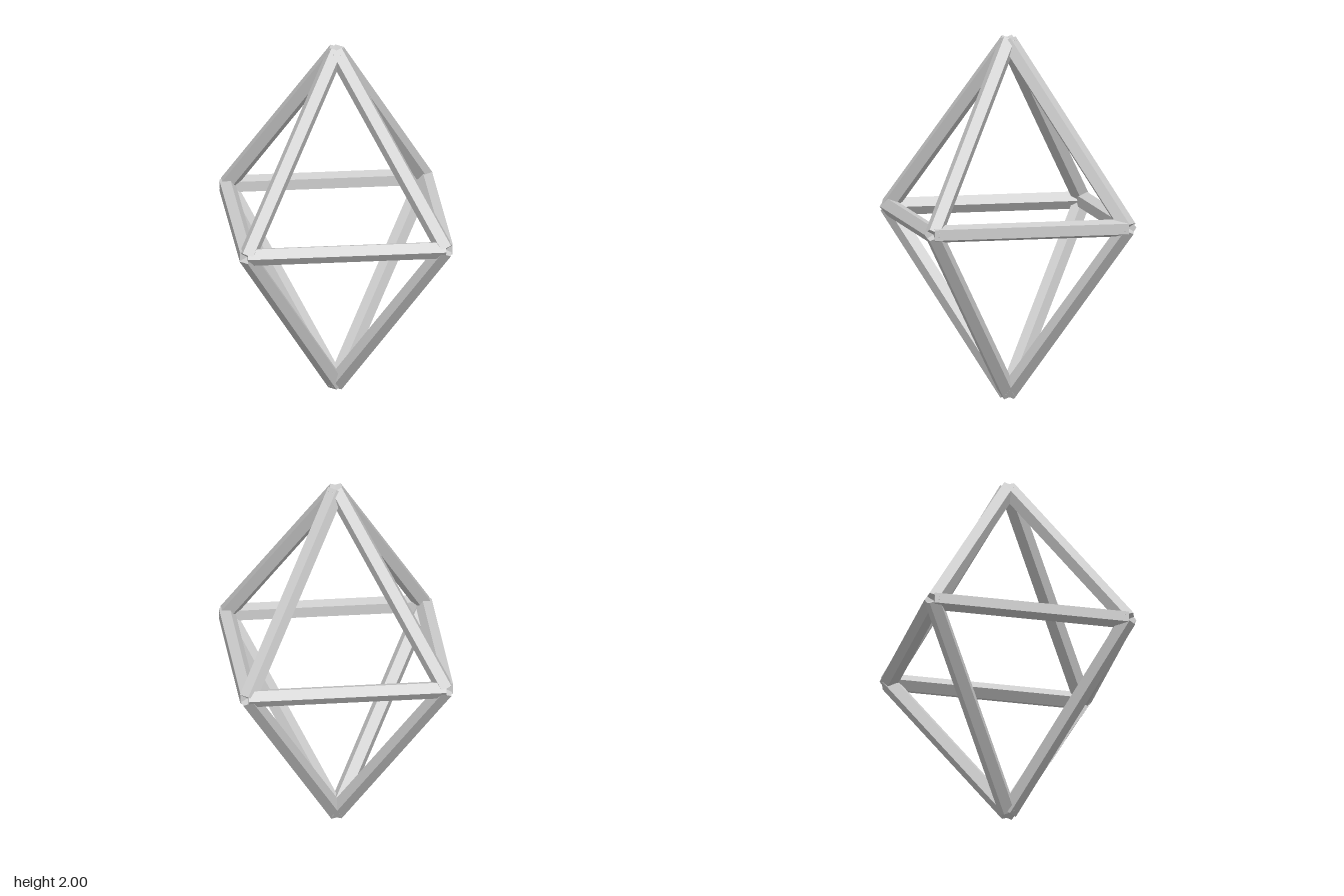
import * as THREE from 'three';

const HALF_WIDTH = 0.768;  // centre to side corners
const HALF_HEIGHT = 0.969; // centre to top and bottom corners
const RADIUS = 0.05;       // five-sided bar radius

export function createModel() {
  const model = new THREE.Group();
  model.name = 'octahedronFrame';
  const grey = new THREE.MeshStandardMaterial({ color: 0xcccccc });
  grey.name = 'light grey';

  // Corners of the stretched octahedron
  const corner = {
    right: new THREE.Vector3(-HALF_WIDTH, 0, 0),
    left: new THREE.Vector3(HALF_WIDTH, 0, 0),
    front: new THREE.Vector3(0, 0, HALF_WIDTH),
    back: new THREE.Vector3(0, 0, -HALF_WIDTH),
    top: new THREE.Vector3(0, HALF_HEIGHT, 0),
    bottom: new THREE.Vector3(0, -HALF_HEIGHT, 0),
  };

  // Bar between two corners; ridge 1 points an edge outward, -1 a flat face
  function addBar(from, to, ridge) {
    const a = corner[from], b = corner[to];
    const along = b.clone().sub(a);
    const length = along.length();
    along.normalize();
    const mid = a.clone().add(b).multiplyScalar(0.5);
    const out = mid.clone().addScaledVector(along, -mid.dot(along)).normalize().multiplyScalar(ridge);
    const side = new THREE.Vector3().crossVectors(along, out);

    const geometry = new THREE.CylinderGeometry(RADIUS, RADIUS, length, 5).toNonIndexed();
    geometry.computeVertexNormals(); // flat faces
    const bar = new THREE.Mesh(geometry, grey);
    bar.name = `${from}To${to[0].toUpperCase()}${to.slice(1)}Bar`;
    bar.quaternion.setFromRotationMatrix(new THREE.Matrix4().makeBasis(side, along, out));
    bar.position.copy(mid);
    bar.position.y += 1;
    model.add(bar);
  }

  // Middle ring
  addBar('left', 'front', -1);
  addBar('right', 'front', 1);
  addBar('right', 'back', -1);
  addBar('left', 'back', 1);

  // Sloping bars to the side corners
  addBar('top', 'left', -1);
  addBar('top', 'right', 1);
  addBar('bottom', 'left', 1);
  addBar('bottom', 'right', -1);

  // Sloping bars to the front and back corners
  for (const end of ['top', 'bottom']) {
    for (const face of ['front', 'back']) addBar(end, face, 1);
  }
  return model;
}
